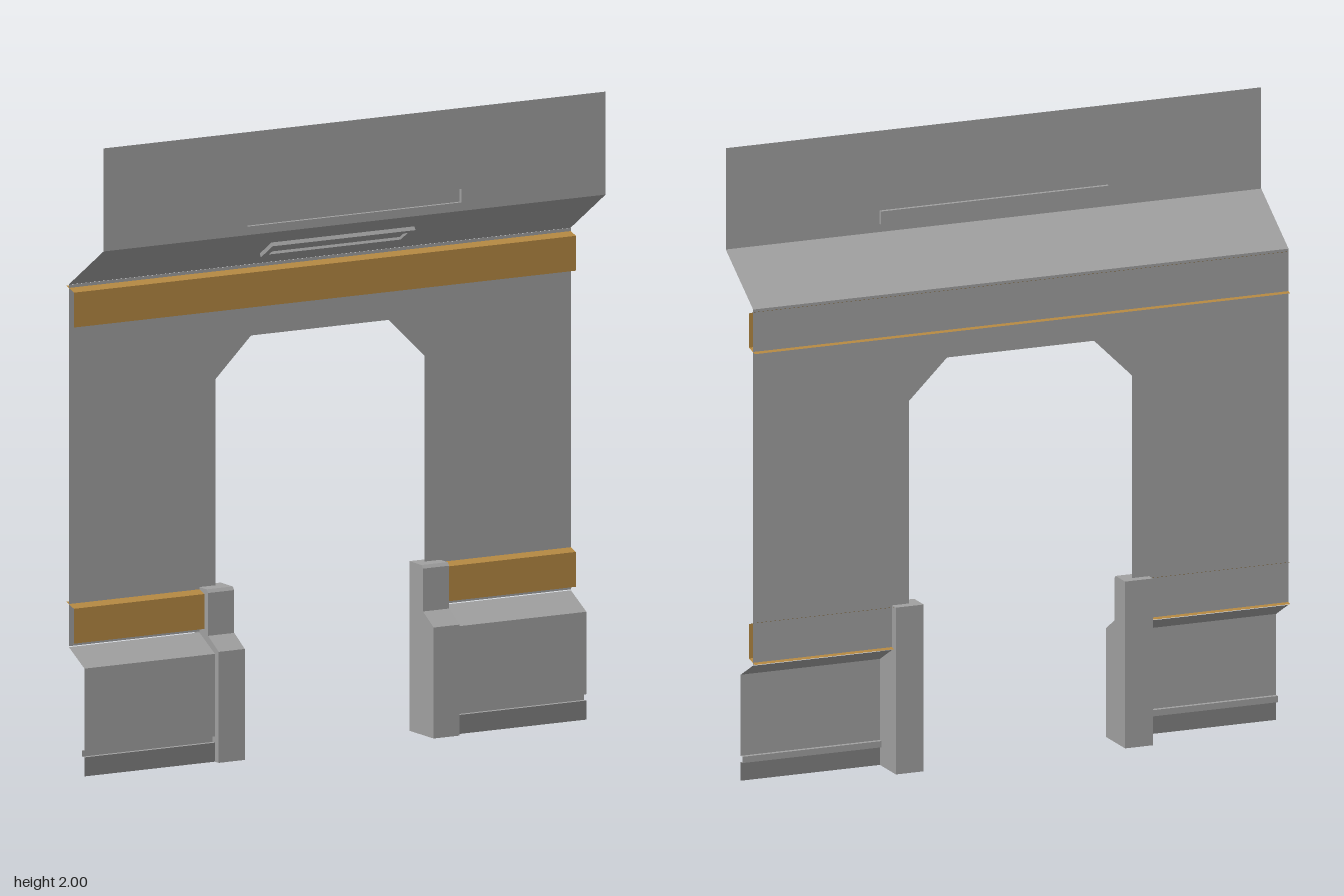
import * as THREE from 'three';

const paint = (color) => new THREE.MeshStandardMaterial({ color, side: THREE.DoubleSide, flatShading: true });
const grey = paint(0xa0a0a0);
const darkGrey = paint(0x808080);
const gold = paint(0xb58942);

const HALF = 0.904;     // half width of the wall
const WALL_Z = -0.09;   // plane of the wall
const PANEL_Z = 0.12;   // plane of the upright panel

function addMesh(parent, name, geometry, material = grey) {
  const mesh = new THREE.Mesh(geometry, material);
  mesh.name = name;
  parent.add(mesh);
}

// Open sheet: a [z, y] profile listed from top to bottom, swept from x0 to x1
function sheet(profile, x0, x1) {
  const pos = [];
  for (let i = 0; i < profile.length - 1; i++) {
    const [za, ya] = profile[i], [zb, yb] = profile[i + 1];
    pos.push(x0, ya, za, x0, yb, zb, x1, yb, zb, x0, ya, za, x1, yb, zb, x1, ya, za);
  }
  const g = new THREE.BufferGeometry();
  g.setAttribute('position', new THREE.Float32BufferAttribute(pos, 3));
  g.computeVertexNormals();
  return g;
}

// Solid: a closed [z, y] profile extruded from x0 to x1
function solid(profile, x0, x1) {
  const shape = new THREE.Shape(profile.map(([z, y]) => new THREE.Vector2(-z, y)));
  const g = new THREE.ExtrudeGeometry(shape, { depth: x1 - x0, bevelEnabled: false });
  return g.rotateY(Math.PI / 2).translate(x0, 0, 0);
}

// Bevelled trim band with its lower edge at y
function trim(y, x0, x1) {
  return sheet([[-0.105, y + 0.135], [-0.06, y + 0.12], [-0.06, y + 0.01], [-0.105, y]], x0, x1);
}

// Centred rectangle, as an outline or as a hole
function rect(PathType, w, h) {
  return new PathType([[-w, -h], [w, -h], [w, h], [-w, h]].map(([x, y]) => new THREE.Vector2(x / 2, y / 2)));
}

export function createModel() {
  const group = new THREE.Group();
  group.name = 'doorwayWall';

  // Wall with a chamfered doorway
  const wall = new THREE.Shape([
    [-HALF, 0.395], [-0.376, 0.395], [-0.376, 1.185], [-0.248, 1.31], [0.248, 1.31],
    [0.376, 1.185], [0.376, 0.395], [HALF, 0.395], [HALF, 1.535], [-HALF, 1.535],
  ].map(([x, y]) => new THREE.Vector2(x, y)));
  addMesh(group, 'wall', new THREE.ShapeGeometry(wall).translate(0, 0, WALL_Z));

  // Overhang and trim above the doorway
  addMesh(group, 'overhang', sheet([[PANEL_Z, 1.675], [-0.092, 1.535]], -HALF, HALF));
  addMesh(group, 'upperTrim', trim(1.395, -HALF, HALF), gold);

  // Upright panel with a long slot, closed behind by a shallow tray
  const panel = new THREE.Shape([
    [-HALF, -0.048], [HALF, -0.048], [HALF, 0.277], [-HALF, 0.277],
  ].map(([x, y]) => new THREE.Vector2(x, y)));
  panel.holes.push(rect(THREE.Path, 0.77, 0.042));
  addMesh(group, 'upperPanel', new THREE.ShapeGeometry(panel).translate(0, 1.723, PANEL_Z));
  const back = PANEL_Z - 0.013;
  addMesh(group, 'slotTray', sheet([[PANEL_Z, 1.744], [back, 1.744], [back, 1.702], [PANEL_Z, 1.702]], -0.385, 0.385));
  for (const s of [1, -1]) {
    const end = new THREE.PlaneGeometry(0.013, 0.042).rotateY(-s * Math.PI / 2);
    addMesh(group, 'slotEnd', end.translate(s * 0.385, 1.723, PANEL_Z - 0.0065));
  }

  // Recessed lamp under the overhang
  const lamp = new THREE.Group();
  lamp.name = 'overhangLamp';
  const frame = rect(THREE.Shape, 0.515, 0.085);
  frame.holes.push(rect(THREE.Path, 0.475, 0.05));
  addMesh(lamp, 'lampFrame', new THREE.ExtrudeGeometry(frame, { depth: 0.013, bevelEnabled: false }));
  addMesh(lamp, 'lampLens', new THREE.PlaneGeometry(0.475, 0.05).translate(0, 0, 0.004));
  lamp.position.set(0, 1.604, 0.014);
  lamp.rotation.x = Math.atan2(0.212, 0.14);
  group.add(lamp);

  // Lower panels, kick plates, trims and door posts on both sides
  const panelProfile = [
    [WALL_Z, 0.392], [0.004, 0.34], [0.004, 0.08], [-0.01, 0.08], [-0.01, 0.06], [0.004, 0.06],
  ];
  const postProfile = [
    [-0.12, 0], [-0.12, 0.535], [-0.046, 0.535], [-0.037, 0.525],
    [-0.037, 0.39], [0.027, 0.35], [0.027, 0],
  ];
  for (const [side, s] of [['left', 1], ['right', -1]]) {
    const span = (a, b) => (s > 0 ? [a, b] : [-b, -a]);
    addMesh(group, side + 'LowerPanel', sheet(panelProfile, ...span(0.434, HALF)));
    addMesh(group, side + 'KickPlate', sheet([[0.004, 0.06], [0.004, 0]], ...span(0.434, HALF)), darkGrey);
    addMesh(group, side + 'LowerTrim', trim(0.398, ...span(0.434, HALF)), gold);
    addMesh(group, side + 'DoorPost', solid(postProfile, ...span(0.34, 0.434)));
  }
  return group;
}
